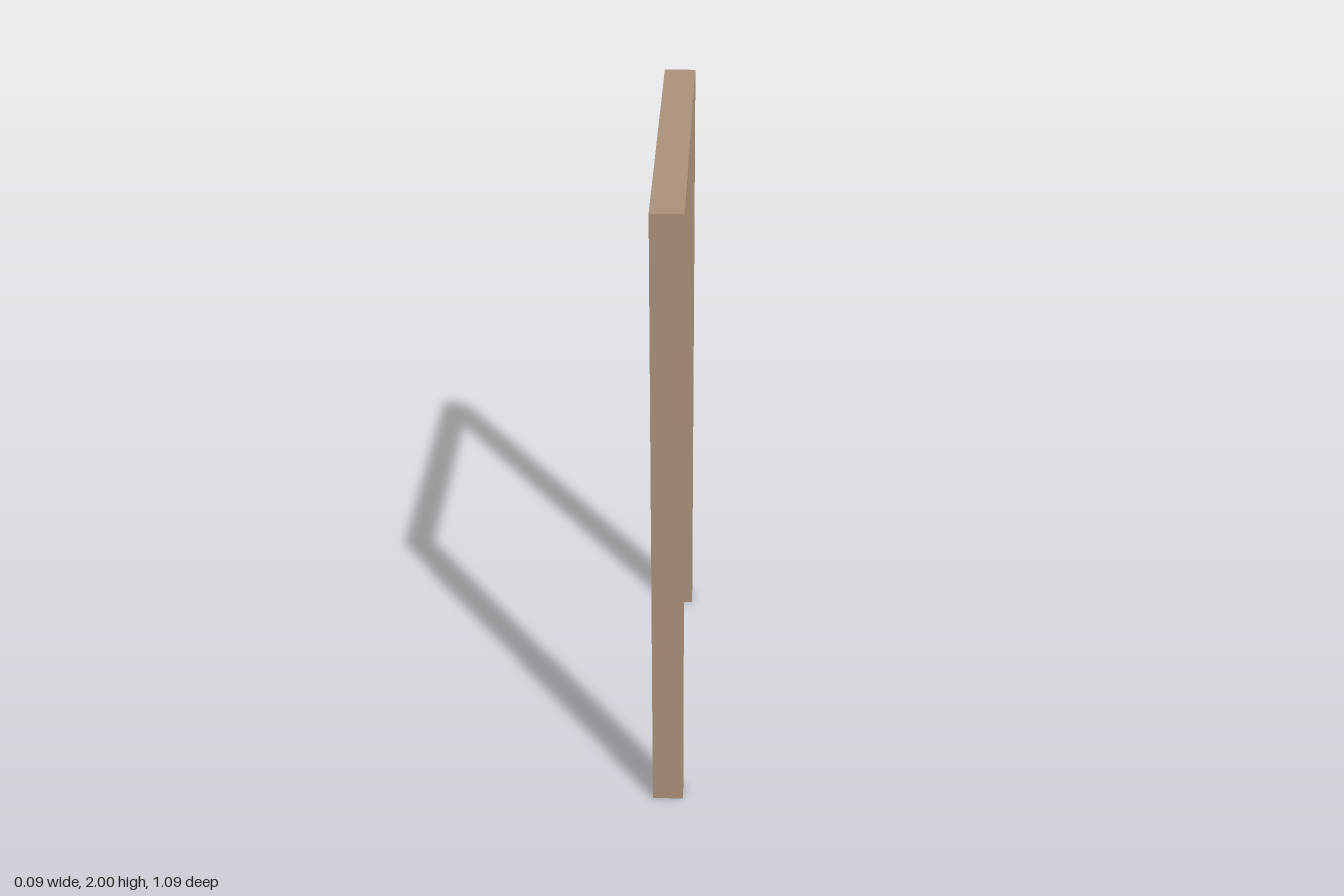
import * as THREE from 'three';

const WIDTH = 0.094;      // frame depth along x
const HEIGHT = 2;
const LINTEL_BOTTOM = 1.97;
const INNER = 0.49;       // half opening
const OUTER_TOP = 0.528;  // outer half span at the top
const OUTER_FOOT = 0.543; // outer half span at the ground

export function createModel() {
  const group = new THREE.Group();
  group.name = 'doorFrame';

  // One half of the outline from the outer foot up; the other half is mirrored
  const outer = [[OUTER_FOOT, 0], [OUTER_TOP, HEIGHT]];
  const inner = [[INNER, LINTEL_BOTTOM], [INNER, 0]];
  const mirror = (pts) => pts.map(([z, y]) => [-z, y]).reverse();
  const outline = [...outer, ...mirror(outer), ...mirror(inner), ...inner];
  const shape = new THREE.Shape(outline.map(([z, y]) => new THREE.Vector2(z, y)));

  // Tapered posts and lintel as one continuous jamb
  const geometry = new THREE.ExtrudeGeometry(shape, { depth: WIDTH, bevelEnabled: false });
  geometry.translate(0, 0, -WIDTH / 2);
  geometry.rotateY(-Math.PI / 2);

  const wood = new THREE.MeshStandardMaterial({ color: 0xab907a });
  const frame = new THREE.Mesh(geometry, wood);
  frame.name = 'postsAndLintel';
  group.add(frame);
  return group;
}
